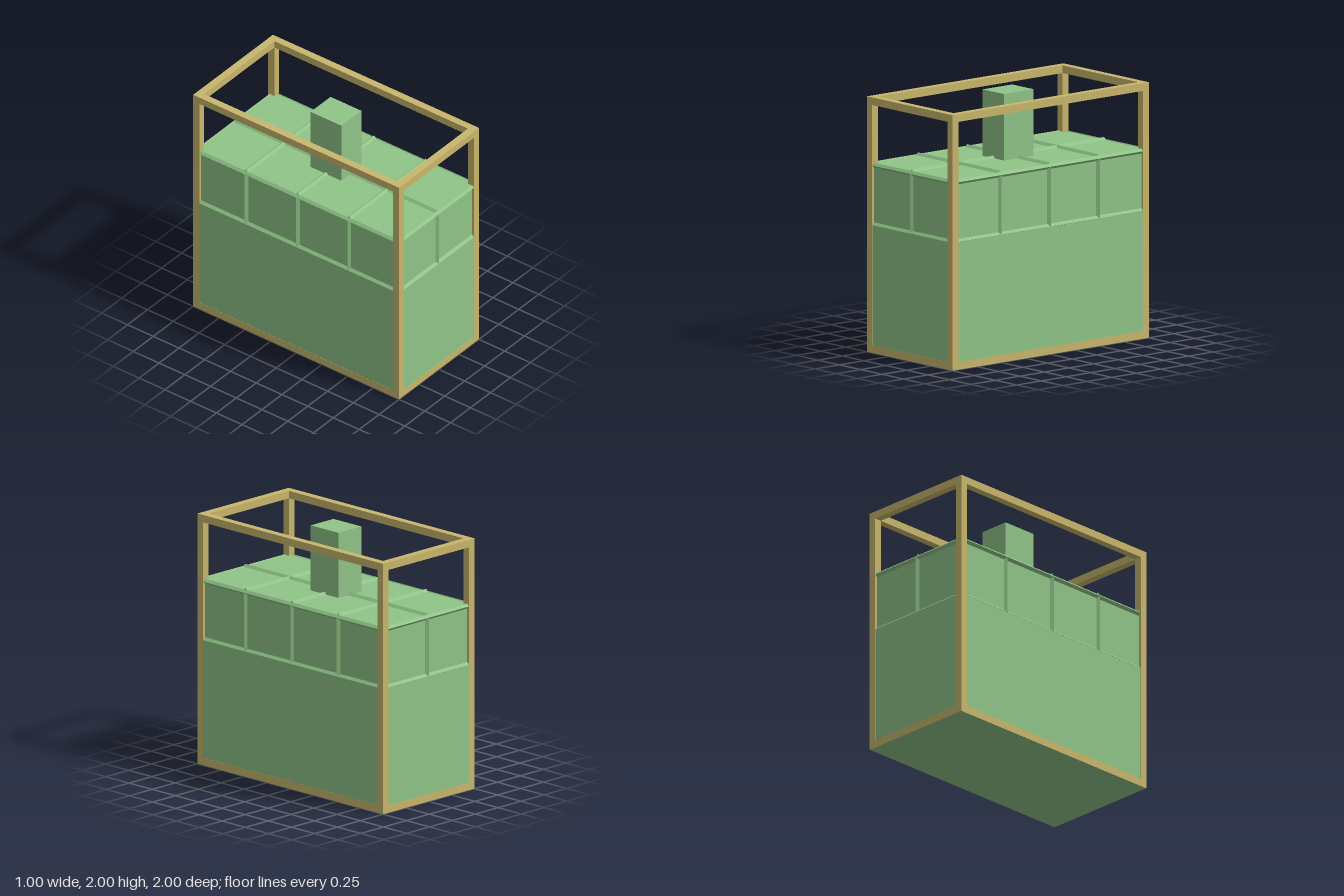
import * as THREE from 'three';

export function createModel() {
  const model = new THREE.Group();
  const green = new THREE.MeshStandardMaterial({ color: 0x8fc487 });
  green.name = 'leaf green';
  const tan = new THREE.MeshStandardMaterial({ color: 0xc9b76c });
  tan.name = 'tan';

  function box(name, mat, size, pos, parent = model) {
    const mesh = new THREE.Mesh(new THREE.BoxGeometry(...size), mat);
    mesh.name = name;
    mesh.position.set(...pos);
    parent.add(mesh);
    return mesh;
  }

  // outer frame: four posts and a bar ring at top and bottom
  const T = 0.06, X = 0.5 - T / 2, Z = 1 - T / 2;
  const frame = new THREE.Group();
  frame.name = 'frame';
  model.add(frame);
  for (const s of [-1, 1]) {
    for (const t of [-1, 1]) box('post', tan, [T, 1.998, T], [s * X, 1.001, t * Z], frame);
    for (const y of [T / 2 + 0.001, 2 - T / 2]) {
      box('sideBar', tan, [T, T, 2 - 2 * T], [s * X, y, 0], frame);
      box('endBar', tan, [1 - 2 * T, T, T], [0, y, s * Z], frame);
    }
  }

  // solid lower body just inside the frame faces, with its underside showing
  box('lowerBody', green, [0.997, 1, 1.997], [0, 0.5, 0]);
  // inset upper body and the tower on top
  const R = 0.02, WX = 0.5 - R, WZ = 1 - R, TOP = 1.48, RIM = 1.467;
  box('upperBody', green, [2 * WX, TOP - 0.98, 2 * WZ], [0, (TOP + 0.98) / 2, 0]);
  box('tower', green, [0.25, 2 - TOP, 0.3], [0, (2 + TOP) / 2, 0]);

  // diamond-section ribs half sunk into the upper body
  const ribs = new THREE.Group();
  ribs.name = 'ribs';
  model.add(ribs);
  function rib(name, axis, length, pos) {
    const w = R * Math.SQRT2;
    const size = [w, w, w];
    size['xyz'.indexOf(axis)] = length;
    box(name, green, size, pos, ribs).rotation[axis] = Math.PI / 4;
  }
  for (const s of [-1, 1]) {
    for (const [name, y] of [['ledgeRib', 1], ['rimRib', RIM]]) {
      rib(name, 'z', 2 * WZ, [s * WX, y, 0]);
      rib(name, 'x', 2 * WX, [0, y, s * WZ]);
    }
    rib('endWallRib', 'y', RIM - 1, [0, (RIM + 1) / 2, s * WZ]);
    for (const z of [-0.5, 0, 0.5]) rib('sideWallRib', 'y', RIM - 1, [s * WX, (RIM + 1) / 2, z]);
  }
  rib('topLongRib', 'z', 2 * WZ, [0, TOP, 0]);
  for (const z of [-0.5, 0, 0.5]) rib('topCrossRib', 'x', 2 * WX, [0, TOP, z]);

  return model;
}
